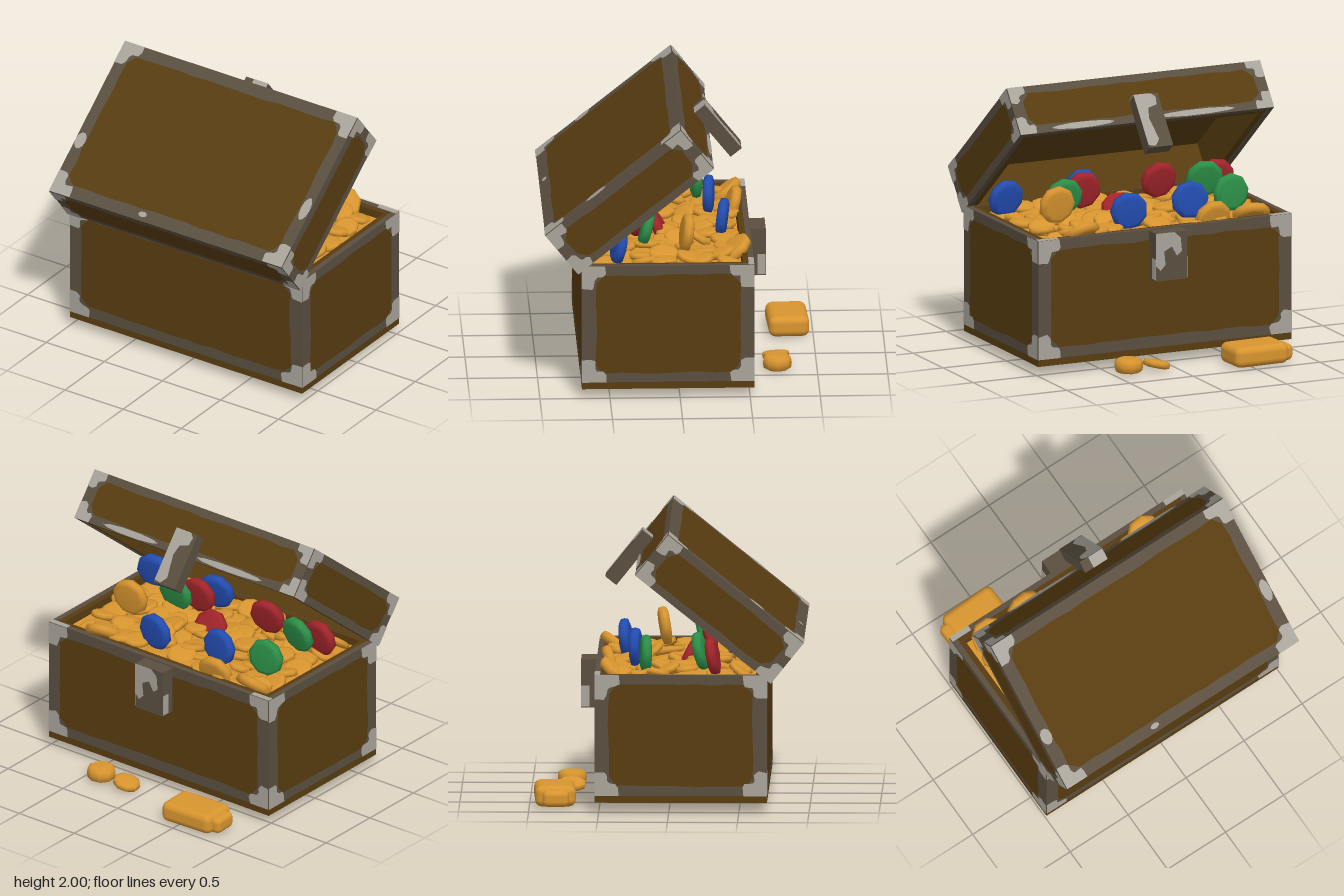
import * as THREE from 'three';
import { RoundedBoxGeometry } from 'three/addons/geometries/RoundedBoxGeometry.js';

const mat = (name, color) => Object.assign(new THREE.MeshStandardMaterial({ color }), { name });

export function createModel() {
  const wood = mat('wood', 0x583c10);
  const trim = mat('wornTrim', 0x5a4f40);
  const metal = mat('brightMetal', 0xa9a49b);
  const gold = mat('gold', 0xd8952f);
  const blue = mat('blue', 0x244eb4);
  const red = mat('red', 0xa3252b);
  const green = mat('green', 0x2d9149);

  let seed = 11;
  const rnd = () => (seed = (seed * 16807) % 2147483647) / 2147483647;
  const jit = (a) => (rnd() - 0.5) * 2 * a;

  const root = new THREE.Group();
  root.name = 'treasureChest';

  const add = (parent, name, geo, material, p = [0, 0, 0], r = [0, 0, 0]) => {
    const m = new THREE.Mesh(geo, material);
    m.name = name;
    m.position.set(...p);
    m.rotation.set(...r);
    parent.add(m);
    return m;
  };
  const group = (parent, name, p, r = [0, 0, 0]) => {
    const g = new THREE.Group();
    g.name = name;
    g.position.set(...p);
    g.rotation.set(...r);
    parent.add(g);
    return g;
  };
  const flat = (pts) => new THREE.ShapeGeometry(new THREE.Shape(pts.map(([x, y]) => new THREE.Vector2(x, y))));

  // Open rectangular frame, extruded upward from y = 0
  function frame(w, d, t0, t1, h) {
    const rect = (C, t) => {
      const x = w / 2 - t, y = d / 2 - t;
      return new C([[-x, -y], [x, -y], [x, y], [-x, y]].map((p) => new THREE.Vector2(...p)));
    };
    const s = rect(THREE.Shape, t0);
    s.holes.push(rect(THREE.Path, t1));
    return new THREE.ExtrudeGeometry(s, { depth: h, bevelEnabled: false }).rotateX(-Math.PI / 2);
  }

  // Wavy wooden panel with clipped corners
  function panelShape(w, h, mx, my) {
    const x = w / 2 - mx, y = h / 2 - my, c = 0.06;
    const ring = [[-x + c, -y], [x - c, -y], [x, -y + c], [x, y - c], [x - c, y], [-x + c, y], [-x, y - c], [-x, -y + c]];
    const out = [];
    ring.forEach((a, i) => {
      const b = ring[(i + 1) % 8];
      const n = Math.max(1, Math.round(Math.hypot(b[0] - a[0], b[1] - a[1]) / 0.12));
      for (let k = 0; k < n; k++) {
        const t = k / n;
        out.push([a[0] + (b[0] - a[0]) * t + jit(0.007), a[1] + (b[1] - a[1]) * t + jit(0.007)]);
      }
    });
    return flat(out);
  }

  // Worn metal corner; sx and sy mirror it into each corner
  function cornerShape(sx, sy, size) {
    const pts = [[0, 0], [1, 0], [1.02, 0.35], [0.92, 0.48], [0.62, 0.5], [0.55, 0.62], [0.53, 0.9], [0.4, 1.02], [0, 1]]
      .map(([x, y]) => [-sx * (x * size + (x ? jit(0.008) : 0)), -sy * (y * size + (y ? jit(0.008) : 0))]);
    return flat(sx * sy < 0 ? pts.reverse() : pts);
  }

  // Panel and four metal corners on one outer side
  function side(parent, name, w, h, p, r, mx = 0.1, my = 0.08, size = 0.17) {
    const g = group(parent, name, p, r);
    add(g, 'woodPanel', panelShape(w, h, mx, my), wood, [0, 0, 0.003]);
    for (const sx of [-1, 1]) for (const sy of [-1, 1])
      add(g, 'metalCorner', cornerShape(sx, sy, size), metal, [sx * w / 2, sy * h / 2, 0.005]);
    return g;
  }
  // Small rounded worn spot
  const spot = (parent, x, y, w, h) => {
    const pts = [];
    for (let i = 0; i < 10; i++) {
      const a = (i / 10) * Math.PI * 2;
      pts.push([Math.cos(a) * w / 2, Math.sin(a) * h / 2 * (0.9 + rnd() * 0.1)]);
    }
    add(parent, 'wornSpot', flat(pts), metal, [x, y, 0.006]);
  };

  const H = Math.PI / 2;

  // Chest body
  const body = group(root, 'chestBody', [0, 0.07, 0.085]);
  const D = 1.23;
  add(body, 'baseSlab', new THREE.BoxGeometry(2, 0.05, D), wood, [0, 0.025, 0]);
  add(body, 'basePanel', panelShape(2, D, 0.2, 0.13).rotateX(H), trim, [0, -0.003, 0]);
  add(body, 'outerWalls', frame(2, D, 0, 0.04, 0.87), trim, [0, 0.05, 0]);
  add(body, 'innerWalls', frame(2, D, 0.04, 0.08, 0.865), wood, [0, 0.05, 0]);
  side(body, 'hingeSide', 2, 0.87, [0, 0.485, D / 2], [0, 0, 0]);
  side(body, 'claspSide', 2, 0.87, [0, 0.485, -D / 2], [0, Math.PI, 0]);
  side(body, 'leftSide', D, 0.87, [1, 0.485, 0], [0, H, 0], 0.1, 0.07);
  side(body, 'rightSide', D, 0.87, [-1, 0.485, 0], [0, -H, 0], 0.1, 0.07);
  for (const sx of [-1, 1])
    add(body, 'rimCorner', new THREE.BoxGeometry(0.16, 0.008, 0.04), metal, [sx * 0.92, 0.921, -D / 2 + 0.02]);

  // Lower clasp
  const latch = group(root, 'lowerClasp', [0, 0.805, -0.585], [0, Math.PI, 0]);
  add(latch, 'claspBlock', new THREE.BoxGeometry(0.25, 0.35, 0.115), trim);
  add(latch, 'claspWear', flat([[-0.125, 0.175], [-0.125, -0.06], [-0.09, -0.1], [-0.05, -0.06], [-0.06, 0.04],
    [0.0, 0.07], [0.04, 0.0], [0.08, 0.03], [0.07, 0.13], [0.02, 0.175]]), metal, [0, 0, 0.06]);
  for (const s of [-1, 1])
    add(latch, 'claspSideWear', new THREE.BoxGeometry(0.006, 0.15, 0.06), metal, [s * 0.126, -0.09, 0.027]);

  // Open lid, hinged along the +z edge
  const lid = group(root, 'lid', [0, 0.952, 0.7], [0.677, 0, 0]);
  const L = 1.24, LH = 0.375, zc = -0.585;
  add(lid, 'lidWalls', frame(2, L, 0, 0.04, LH), trim, [0, 0, zc]);
  add(lid, 'lidLining', frame(2, L, 0.04, 0.09, LH - 0.05), wood, [0, 0.006, zc]);
  add(lid, 'lidCeiling', new THREE.BoxGeometry(1.9, 0.03, L - 0.1), wood, [0, LH - 0.065, zc]);
  add(lid, 'lidTop', new THREE.BoxGeometry(1.999, 0.05, L - 0.001), trim, [0, LH - 0.025, zc]);
  const top = side(lid, 'lidTopSide', 2, L, [0, LH, zc], [-H, 0, 0], 0.09, 0.09);
  spot(top, -0.955, -0.19, 0.085, 0.14);
  spot(top, 0.96, -0.15, 0.075, 0.19);
  spot(top, -0.22, -0.57, 0.07, 0.045);
  const end = side(lid, 'lidClaspSide', 2, LH, [0, LH / 2, zc - L / 2], [0, Math.PI, 0], 0.09, 0.06, 0.13);
  spot(end, 0.4, -0.16, 0.6, 0.05);
  spot(end, -0.5, -0.16, 0.5, 0.05);
  side(lid, 'lidHingeSide', 2, LH, [0, LH / 2, zc + L / 2], [0, 0, 0], 0.09, 0.06, 0.13);
  side(lid, 'lidLeftSide', L, LH, [1, LH / 2, zc], [0, H, 0], 0.09, 0.06, 0.14);
  side(lid, 'lidRightSide', L, LH, [-1, LH / 2, zc], [0, -H, 0], 0.09, 0.06, 0.14);

  // Upper clasp hanging past the lid's rim
  const hasp = group(lid, 'upperClasp', [0, -0.04, -1.25], [0, Math.PI, 0]);
  add(hasp, 'haspPlate', new THREE.BoxGeometry(0.19, 0.42, 0.1), trim);
  add(hasp, 'haspWear', flat([[-0.095, 0.21], [-0.095, -0.19], [-0.04, -0.2], [0.0, -0.15], [-0.03, 0.02],
    [-0.01, 0.1], [0.06, 0.12], [0.07, 0.18], [0.04, 0.21]]), metal, [0, 0, 0.053]);
  add(hasp, 'haspTopWear', new THREE.BoxGeometry(0.12, 0.006, 0.1), metal, [-0.035, 0.211, 0]);

  // Chunky bevelled coin of radius 1 and thickness 1
  const coinGeo = new THREE.LatheGeometry([[0, -0.5], [0.72, -0.5], [0.95, -0.36], [1, 0], [0.95, 0.36], [0.72, 0.5], [0, 0.5]]
    .map((p) => new THREE.Vector2(...p)), 9);
  const coin = (name, material, p, r, rad, thick) => {
    const m = add(root, name, coinGeo, material, p, r);
    m.scale.set(rad, thick, rad);
    return m;
  };

  // Loose gold filling the chest
  add(root, 'goldBed', new THREE.BoxGeometry(1.83, 0.8, 1.06), gold, [0, 0.53, 0.085]);
  for (let i = 0; i < 11; i++) for (let j = 0; j < 7; j++)
    coin('goldCoin', gold, [-0.78 + i * 0.156 + jit(0.04), 0.955 + jit(0.025), -0.34 + j * 0.145 + jit(0.04)],
      [jit(0.35), rnd() * 6, jit(0.35)], 0.085 + rnd() * 0.03, 0.05);

  // Coins standing upright in the pile: material, x, y, z, tilt
  const standing = [
    [blue, 0.19, 1.09, -0.33, -0.12], [blue, -0.33, 1.1, -0.25, -0.05], [blue, 0.22, 1.11, 0.41, -0.25], [blue, 0.8, 1.08, 0.43, -0.2],
    [red, 0.27, 1.12, 0.27, -0.2], [red, -0.34, 1.13, 0.29, -0.25], [red, -0.8, 1.1, 0.31, -0.2], [red, 0.05, 0.98, 0.12, 0.5],
    [green, -0.67, 1.12, 0.22, -0.25], [green, -0.69, 1.1, -0.17, 0.05], [green, 0.44, 1.1, 0.22, -0.25],
    [gold, 0.63, 1.12, -0.06, -0.1], [gold, -0.43, 0.99, -0.42, -0.3], [gold, 0.6, 0.98, -0.4, -0.9], [gold, -0.75, 0.98, -0.38, -0.9],
  ];
  for (const [m, x, y, z, tilt] of standing)
    coin(m.name + 'StandingCoin', m, [x, y, z], [H + tilt, rnd() * 0.6, jit(0.15)], 0.14, 0.075);

  // Gold dropped on the ground behind the chest
  const ingot = group(root, 'groundIngot', [-0.57, 0.08, -0.82], [0, 0.04, 0]);
  add(ingot, 'ingotBody', new RoundedBoxGeometry(0.43, 0.15, 0.29, 3, 0.05), gold);
  add(ingot, 'ingotEnd', new RoundedBoxGeometry(0.16, 0.12, 0.19, 3, 0.04), gold, [-0.19, -0.01, 0]);
  coin('groundCoin', gold, [0.15, 0.045, -0.71], [0, 0.3, 0.25], 0.1, 0.055);
  coin('groundCoin', gold, [0.375, 0.06, -0.715], [0, 0.9, 0], 0.105, 0.1);

  return root;
}
